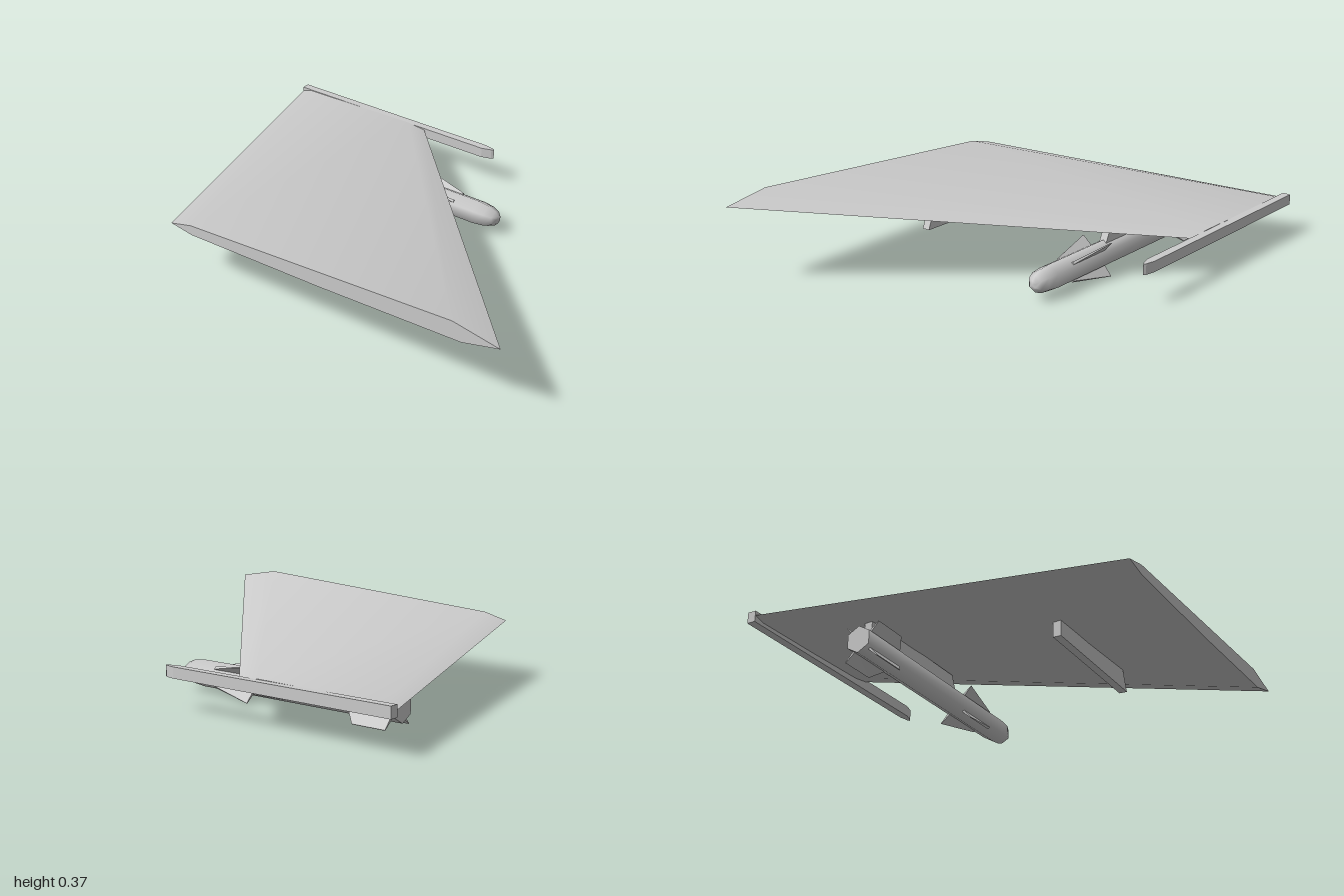
import * as THREE from 'three';
import { toCreasedNormals } from 'three/addons/utils/BufferGeometryUtils.js';

const material = new THREE.MeshStandardMaterial({ color: 0xcccccc });

function part(name, geometry) {
  const mesh = new THREE.Mesh(geometry, material);
  mesh.name = name;
  return mesh;
}

// Lofts between two convex [z, y] sections standing at x0 and x1
function loft(x0, sectionA, x1, sectionB) {
  const a = sectionA.map(([z, y]) => [x0, y, z]);
  const b = sectionB.map(([z, y]) => [x1, y, z]);
  const n = a.length;
  const points = [];
  for (let i = 0; i < n; i++) {
    const j = (i + 1) % n;
    points.push(a[i], a[j], b[j], a[i], b[j], b[i]);
  }
  for (let i = 1; i < n - 1; i++) {
    points.push(b[0], b[i], b[i + 1], a[0], a[i + 1], a[i]);
  }
  const geometry = new THREE.BufferGeometry();
  geometry.setAttribute('position', new THREE.Float32BufferAttribute(points.flat(), 3));
  return toCreasedNormals(geometry, 0.35);
}

// Flat plate from a [z, y] outline, centred on x = 0
function plate(outline, thickness) {
  const shape = new THREE.Shape(outline.map(([z, y]) => new THREE.Vector2(-z, y)));
  const geometry = new THREE.ExtrudeGeometry(shape, { depth: thickness, bevelEnabled: false });
  geometry.translate(0, 0, -thickness / 2);
  return geometry.rotateY(Math.PI / 2);
}

function createMissile() {
  const missile = new THREE.Group();
  missile.name = 'missile';

  // Six-sided body with a rounded nose pointing to +z
  const profile = [[0, -0.78], [0.057, -0.78], [0.057, 0.25], [0.051, 0.3], [0.036, 0.335], [0.018, 0.352], [0, 0.356]];
  const body = new THREE.LatheGeometry(profile.map(([r, z]) => new THREE.Vector2(r, z)), 6);
  body.rotateX(Math.PI / 2);
  missile.add(part('missileBody', toCreasedNormals(body, 1.1)));

  // Four front and four rear fins in an X
  const frontFin = [[0.145, 0.04], [0.145, 0.057], [-0.065, 0.104], [-0.065, 0.04]];
  const rearFin = [[-0.56, 0.04], [-0.56, 0.055], [-0.6, 0.104], [-0.755, 0.104], [-0.755, 0.04]];
  for (let i = 0; i < 4; i++) {
    for (const [name, outline] of [['frontFin', frontFin], ['rearFin', rearFin]]) {
      const geometry = plate(outline, 0.012);
      // Thin the fin towards its tip
      const p = geometry.attributes.position;
      for (let k = 0; k < p.count; k++) p.setX(k, p.getX(k) * (p.getY(k) > 0.1 ? 0.25 : 1));
      geometry.computeVertexNormals();
      const fin = part(name, geometry);
      fin.rotation.z = Math.PI / 4 + (i * Math.PI) / 2;
      missile.add(fin);
    }
  }
  missile.position.set(0.34, 0.082, 0);
  return missile;
}

export function createModel() {
  const group = new THREE.Group();
  group.name = 'wingAssembly';

  // Swept, tapered wing: leading edge, underside, trailing edge, top
  const root = [[1, 0.34], [0.84, 0.297], [0.2, 0.266], [-0.45, 0.246], [-0.56, 0.262], [-0.45, 0.29], [0.8, 0.373]];
  const tip = [[-0.27, 0.178], [-0.345, 0.166], [-0.64, 0.159], [-0.95, 0.155], [-1, 0.166], [-0.945, 0.182], [-0.36, 0.188]];
  group.add(part('wing', loft(-0.706, root, 0.672, tip)));

  // Wing tip rail, narrowing at the nose
  const railPlan = [[0.67, -1], [0.706, -1], [0.706, 0.05], [0.697, 0.095], [0.69, 0.105], [0.683, 0.095], [0.67, 0.05]];
  const railShape = new THREE.Shape(railPlan.map(([x, z]) => new THREE.Vector2(x, -z)));
  const rail = new THREE.ExtrudeGeometry(railShape, { depth: 0.046, bevelEnabled: false });
  rail.rotateX(-Math.PI / 2).translate(0, 0.14, 0);
  group.add(part('tipRail', rail));

  // Pylons under the wing, front ends raked
  const innerPylon = part('innerPylon', plate([[0.32, 0.16], [-0.3, 0.16], [-0.3, 0.25], [0.285, 0.25]], 0.035));
  innerPylon.position.x = -0.269;
  const outerPylon = part('outerPylon', plate([[-0.1, 0.125], [-0.72, 0.125], [-0.72, 0.19], [-0.13, 0.19]], 0.035));
  outerPylon.position.x = 0.34;
  group.add(innerPylon, outerPylon, createMissile());

  return group;
}
